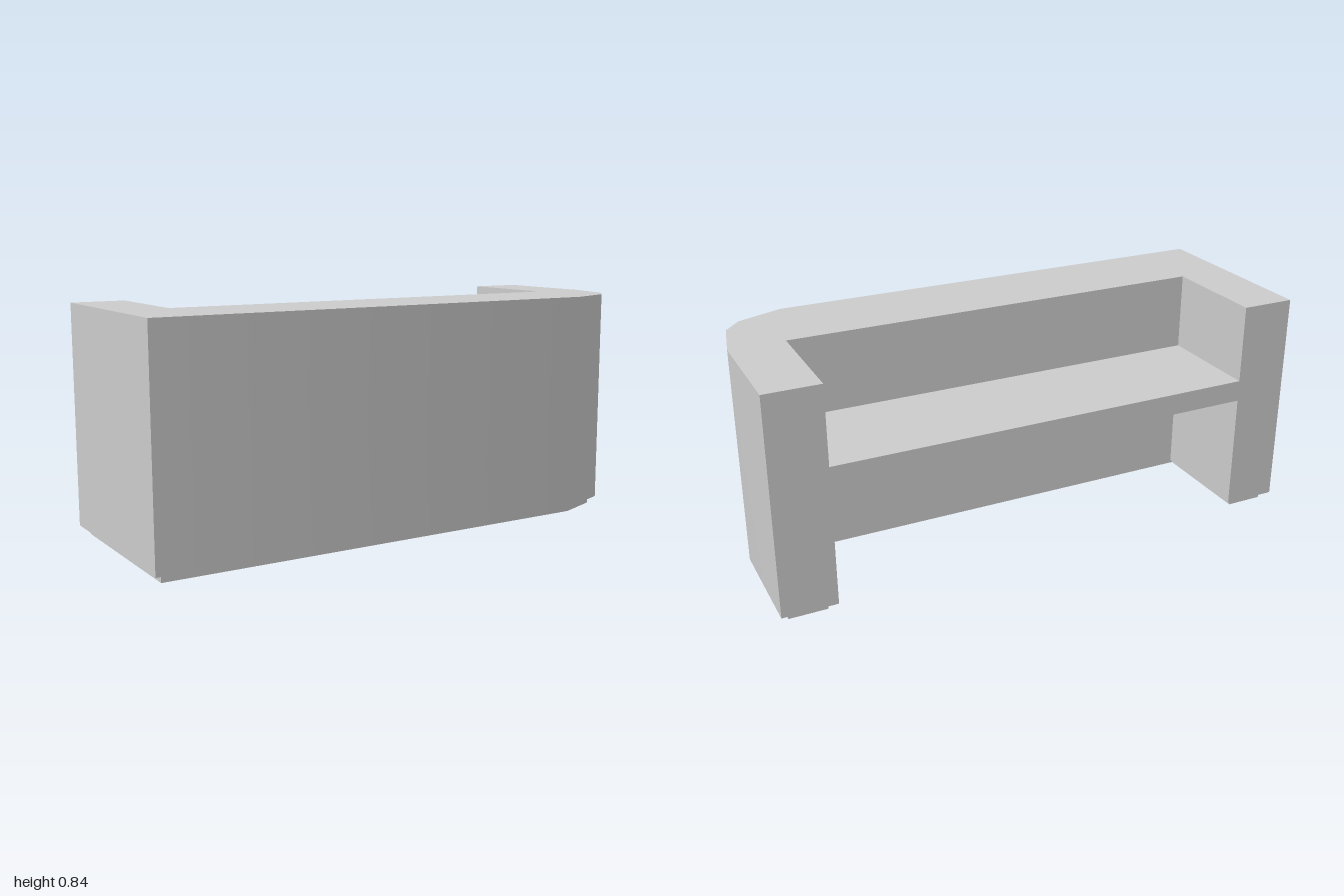
import * as THREE from 'three';
import { toCreasedNormals } from 'three/addons/utils/BufferGeometryUtils.js';

const TOP = 0.84, LEDGE = 0.03, INSET = 0.03;
const BACK = -0.365, FRONT = 0.365, INNER_X = 0.8, INNER_Z = 0.045;

// U-shaped plan as [x, z], counterclockwise from above, one front corner rounded
const plan = [
  [-1, FRONT], [0.73, FRONT], [0.9, 0.3], [0.96, 0.23], [1, 0.045], [1, BACK],
  [INNER_X, BACK], [INNER_X, INNER_Z], [-INNER_X, INNER_Z], [-INNER_X, BACK], [-1, BACK],
].map(([x, z]) => new THREE.Vector2(x, -z));

// Moves every side of the plan inwards by d
function insetPlan(points, d) {
  const n = points.length;
  const normal = (a, b) => new THREE.Vector2(a.y - b.y, b.x - a.x).normalize();
  return points.map((p, i) => {
    const n1 = normal(points[(i + n - 1) % n], p);
    const n2 = normal(p, points[(i + 1) % n]);
    return p.clone().addScaledVector(n1.clone().add(n2), d / (1 + n1.dot(n2)));
  });
}

// Surface joining an upper ring to a lower ring, outside facing out
function band(upper, yUpper, lower, yLower) {
  const pos = [];
  const put = (p, y) => pos.push(p.x, y, -p.y);
  upper.forEach((a, i) => {
    const j = (i + 1) % upper.length;
    put(a, yUpper); put(lower[i], yLower); put(lower[j], yLower);
    put(a, yUpper); put(lower[j], yLower); put(upper[j], yUpper);
  });
  const g = new THREE.BufferGeometry();
  g.setAttribute('position', new THREE.Float32BufferAttribute(pos, 3));
  return toCreasedNormals(g, 0.62);
}

export function createModel() {
  const model = new THREE.Group();
  model.name = 'receptionDesk';
  const shell = new THREE.MeshStandardMaterial({ color: 0xcccccc, side: THREE.DoubleSide });
  const solid = new THREE.MeshStandardMaterial({ color: 0xcccccc });
  const add = (name, geometry, material) => {
    const mesh = new THREE.Mesh(geometry, material);
    mesh.name = name;
    model.add(mesh);
    return mesh;
  };

  // Hollow counter body: top, walls and the narrow ledge beneath
  const foot = insetPlan(plan, INSET);
  add('counterTop', new THREE.ShapeGeometry(new THREE.Shape(plan)).rotateX(-Math.PI / 2), shell)
    .position.y = TOP;
  add('counterWalls', band(plan, TOP, plan, LEDGE), shell);
  add('bottomLedge', band(plan, LEDGE, foot, LEDGE), shell);

  // Recessed plinth, open underneath
  add('plinth', band(foot, LEDGE, foot, 0), shell);

  // Work surface between the arms
  add('workSurface', new THREE.BoxGeometry(INNER_X * 2, 0.08, INNER_Z - BACK), solid)
    .position.set(0, 0.51, (INNER_Z + BACK) / 2);

  return model;
}
